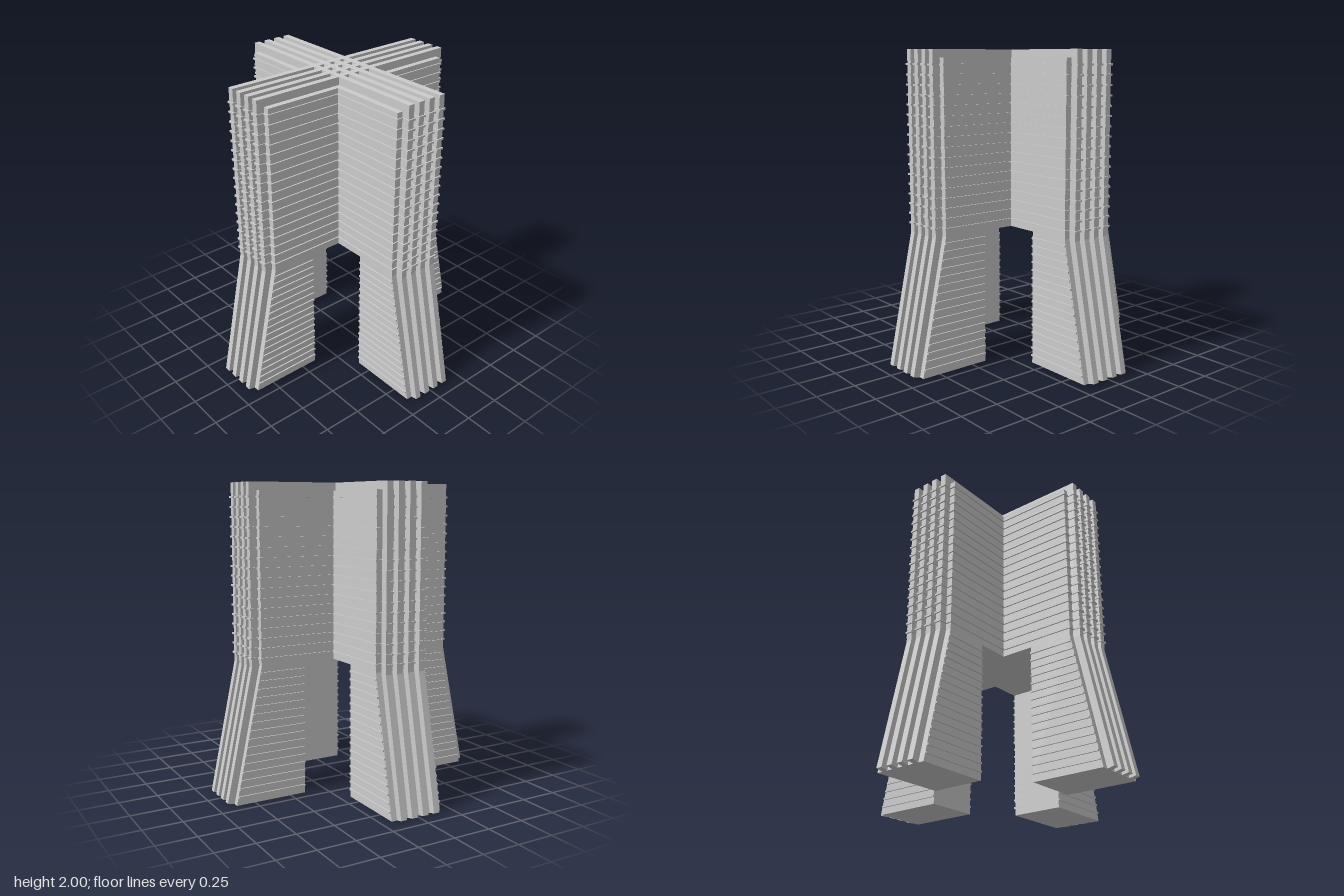
import * as THREE from 'three';

const HALF = 0.178;          // half width of an arm
const LEDGE = 0.009;         // how far the thin ledges stand out
const BAND = 0.012;          // ledge height
const KNEE = 0.87;           // height where the legs begin
const CORE = 0.69, CORE_FOOT = 0.875, LEG_IN = 0.395;
const FIN = 0.74, FIN_FOOT = 0.92, FIN_W = 0.04;
const FIN_POS = [-0.12, -0.04, 0.04, 0.12];

const mat = new THREE.MeshStandardMaterial({ color: 0xcccccc, flatShading: true });

function add(group, geometry, name, x = 0, y = 0, z = 0) {
  const mesh = new THREE.Mesh(geometry, mat);
  mesh.name = name;
  mesh.position.set(x, y, z);
  group.add(mesh);
  return mesh;
}

// Extrudes a profile given by its right half, mirrored in x, centred in z
function mirroredSlab(half, depth) {
  const left = half.map(([x, y]) => [-x, y]).reverse();
  const shape = new THREE.Shape([...half, ...left].map(([x, y]) => new THREE.Vector2(x, y)));
  const geo = new THREE.ExtrudeGeometry(shape, { depth, bevelEnabled: false });
  return geo.translate(0, 0, -depth / 2);
}

// One wall of the cross, running along x, with a leg at each end
function createWall(name) {
  const wall = new THREE.Group();
  wall.name = name;

  // Solid body with two splayed legs
  add(wall, mirroredSlab([
    [LEG_IN, KNEE], [LEG_IN, 0], [CORE_FOOT, 0], [CORE, KNEE], [CORE, 1.95],
  ], HALF * 2), 'body');

  // Ribs running up each leg, up the end and over the top
  const rib = mirroredSlab([
    [CORE, 1.95], [CORE, KNEE], [CORE_FOOT, 0], [FIN_FOOT, 0.01], [FIN, 0.86], [FIN, 2],
  ], FIN_W);
  for (const z of FIN_POS) add(wall, rib, 'rib', 0, 0, z);

  // Thin bands around the upper part, also wrapping the ribs
  const band = new THREE.BoxGeometry(2 * (CORE + LEDGE), BAND, 2 * (HALF + LEDGE));
  const ribBand = new THREE.BoxGeometry(2 * (FIN + LEDGE), BAND, FIN_W + 0.012);
  for (let i = 0; i < 17; i++) {
    const y = 1.91 - i * 0.062;
    add(wall, band, 'upperBand', 0, y);
    for (const z of FIN_POS) add(wall, ribBand, 'ribBand', 0, y, z);
  }

  // Thin ledges on both flanks of each leg, following the slope
  for (let i = 0; i < 16; i++) {
    const y = 0.052 + i * 0.0517;
    const outer = CORE_FOOT + (CORE - CORE_FOOT) * (y + BAND / 2) / KNEE;
    const ledge = new THREE.BoxGeometry(outer - LEG_IN, BAND, 2 * (HALF + LEDGE));
    for (const s of [-1, 1]) add(wall, ledge, 'legLedge', s * (outer + LEG_IN) / 2, y);
  }
  return wall;
}

export function createModel() {
  const model = new THREE.Group();
  model.name = 'ribbedCrossTower';
  const side = createWall('sideWall');
  const front = createWall('frontBackWall');
  front.rotation.y = Math.PI / 2;
  model.add(side, front);
  return model;
}
